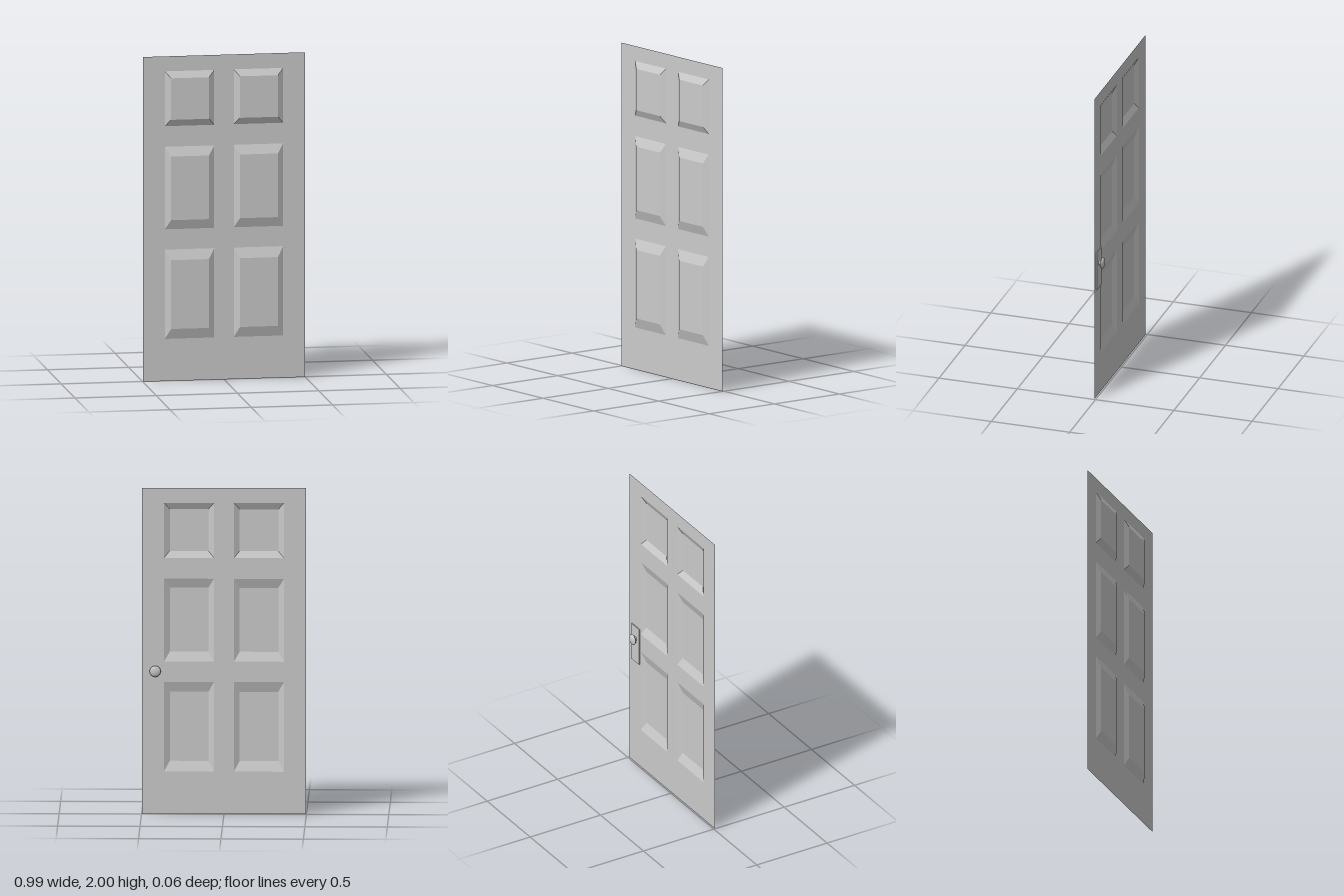
import * as THREE from 'three';

const SHEET_Z = 0.009, PANEL_Z = 0.028;

export function createModel() {
  const door = new THREE.Group();
  door.name = 'door';
  const sheetMaterial = new THREE.MeshStandardMaterial({ color: 0xcccccc, side: THREE.DoubleSide, flatShading: true });
  const metal = new THREE.MeshStandardMaterial({ color: 0xcccccc });

  const add = (name, geometry, material, x = 0, y = 0, z = 0) => {
    const mesh = new THREE.Mesh(geometry, material);
    mesh.name = name;
    mesh.position.set(x, y, z);
    door.add(mesh);
    return mesh;
  };

  // Thin door sheet, opened where the pressed panels sit
  const sheet = new THREE.Shape([[-0.497, 0], [0.497, 0], [0.497, 2], [-0.497, 2]].map(p => new THREE.Vector2(...p)));

  // Three rows of panels: bottom, top and vertical bevel width
  const rows = [
    { name: 'lowerPanel', bottom: 0.26, top: 0.81, bevel: 0.063 },
    { name: 'middlePanel', bottom: 0.935, top: 1.443, bevel: 0.058 },
    { name: 'upperPanel', bottom: 1.57, top: 1.908, bevel: 0.041 },
  ];
  for (const { name, bottom, top, bevel } of rows) {
    for (const side of [-1, 1]) {
      const cx = side * 0.212, cy = (bottom + top) / 2;
      const w = 0.152, h = (top - bottom) / 2;
      const hole = [[-w, -h], [-w, h], [w, h], [w, -h]].map(([x, y]) => new THREE.Vector2(cx + x, cy + y));
      sheet.holes.push(new THREE.Path(hole));
      add(name + (side > 0 ? 'Left' : 'Right'), pressedPanel(w, h, 0.035, bevel), sheetMaterial, cx, cy, SHEET_Z);
    }
  }
  add('doorSheet', new THREE.ShapeGeometry(sheet), sheetMaterial, 0, 0, SHEET_Z);

  // Back plate of the handle, flush against the back of the sheet
  add('knobPlate', new THREE.BoxGeometry(0.09, 0.248, 0.006), metal, 0.42, 0.839, SHEET_Z - 0.0035);

  // Round neck and flattened knob on the back
  const neck = add('knobNeck', new THREE.CylinderGeometry(0.016, 0.016, 0.014, 24), metal, 0.417, 0.878, -0.003);
  neck.rotation.x = Math.PI / 2;
  const knob = add('knob', new THREE.SphereGeometry(1, 32, 16), metal, 0.417, 0.878, -0.0175);
  knob.rotation.x = -Math.PI / 2;
  knob.scale.set(0.034, 0.0125, 0.034);

  return door;
}

// Raised field with four sloping sides, hollow from behind:
// a 3 x 3 grid whose inner four points are pushed forward
function pressedPanel(w, h, bevelX, bevelY) {
  const geometry = new THREE.PlaneGeometry(2, 2, 3, 3);
  const xs = [-w, -w + bevelX, w - bevelX, w];
  const ys = [h, h - bevelY, -h + bevelY, -h];
  const inner = i => i === 1 || i === 2;
  for (let row = 0; row < 4; row++) {
    for (let col = 0; col < 4; col++) {
      const z = inner(row) && inner(col) ? PANEL_Z - SHEET_Z : 0;
      geometry.attributes.position.setXYZ(row * 4 + col, xs[col], ys[row], z);
    }
  }
  // Mitre the corners: each corner cell splits from outer to inner corner
  const index = [];
  for (let row = 0; row < 3; row++) {
    for (let col = 0; col < 3; col++) {
      const a = row * 4 + col, b = a + 4, c = b + 1, d = a + 1;
      const risingDiagonal = (row === 0 && col === 2) || (row === 2 && col === 0);
      index.push(...(risingDiagonal ? [a, b, d, b, c, d] : [a, b, c, a, c, d]));
    }
  }
  geometry.setIndex(index);
  const flat = geometry.toNonIndexed();
  flat.computeVertexNormals();
  return flat;
}
